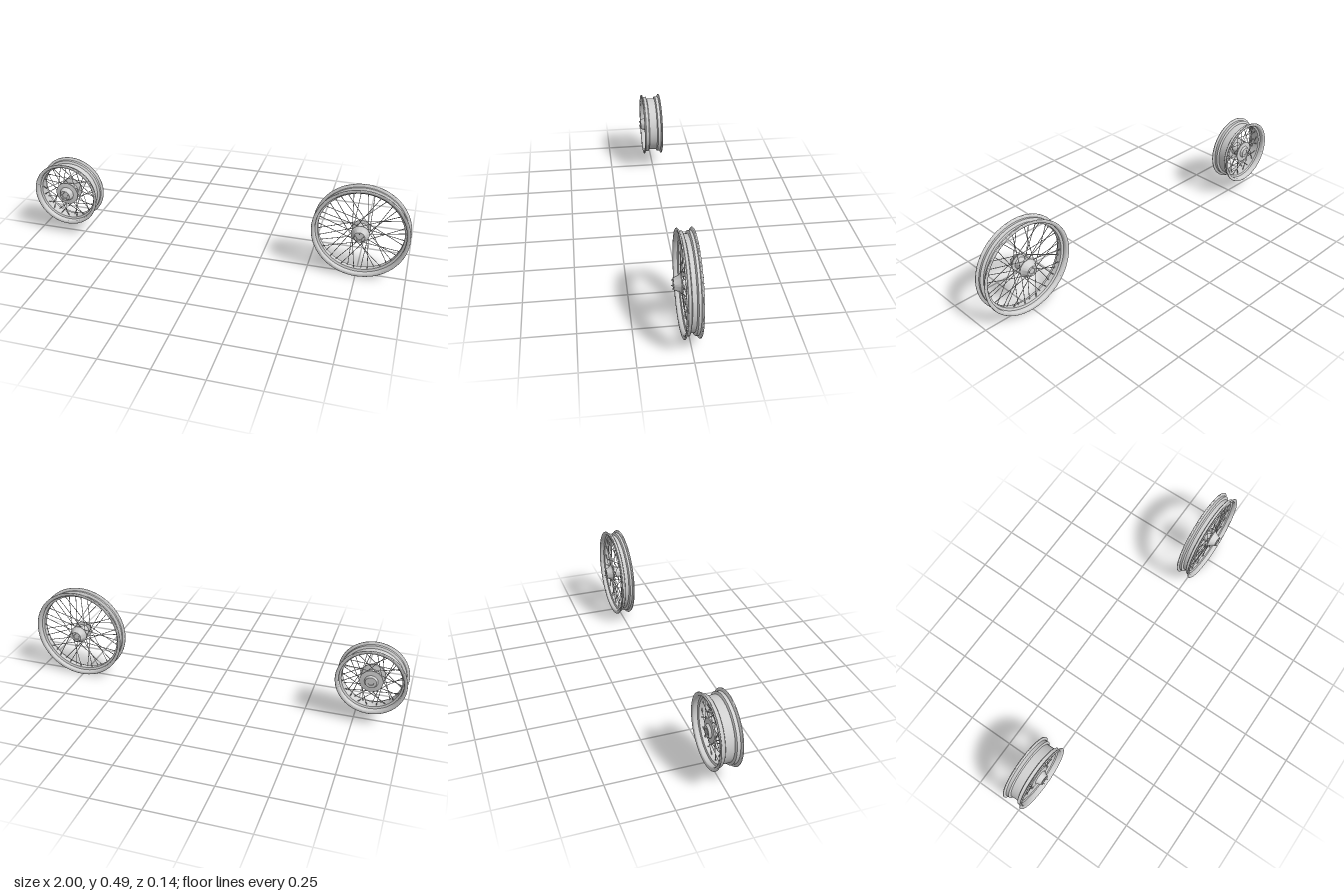
import * as THREE from 'three';
import { toCreasedNormals } from 'three/addons/utils/BufferGeometryUtils.js';

const metal = new THREE.MeshStandardMaterial({ color: 0xd2d2d2 });
metal.name = 'light grey metal';

function addMesh(parent, geometry, name) {
  const mesh = new THREE.Mesh(geometry, metal);
  mesh.name = name;
  parent.add(mesh);
  return mesh;
}

// Revolves a [radius, z] profile around the wheel axle
function revolve(profile, segments) {
  const points = profile.map(([r, z]) => new THREE.Vector2(r, z));
  const geometry = new THREE.LatheGeometry(points, segments).rotateX(Math.PI / 2);
  return toCreasedNormals(geometry, 0.75);
}

// Thin round bar between two points
function addBar(parent, a, b, radius, name, sides = 6) {
  const direction = b.clone().sub(a);
  const bar = addMesh(parent, new THREE.CylinderGeometry(radius, radius, direction.length(), sides), name);
  bar.position.copy(a).add(b).multiplyScalar(0.5);
  bar.quaternion.setFromUnitVectors(new THREE.Vector3(0, 1, 0), direction.normalize());
}

// Mirrors a half profile about z = 0
const mirrorZ = (half) => half.map(([r, z]) => [r, -z]).reverse();

// Drop-centre rim: well, bead seat, rounded lip and broad flat side face
function rimProfile({ lip, seat, well, wellHalf, width }) {
  const t = 0.004;
  const lipRadius = 0.004;
  const curl = [-60, -30, 0, 30, 60, 90, 120, 150, 180].map((degrees) => {
    const angle = THREE.MathUtils.degToRad(150 - degrees);
    return [lip - lipRadius + lipRadius * Math.sin(angle), width - lipRadius + lipRadius * Math.cos(angle)];
  }).filter(([, z]) => z < width + 1e-6).slice(2, 8);
  const half = [
    [well, wellHalf - 0.002], [seat - 0.001, wellHalf + 0.001],
    [seat + 0.001, wellHalf + 0.003], [seat, wellHalf + 0.005],
    [seat, width - 0.011], [seat + 0.003, width - 0.009],
    ...curl,
    [seat + 0.001, width - 0.001], [seat - 0.003, width - 0.003],
    [seat - t - 0.001, width - 0.006], [seat - t - 0.001, wellHalf + 0.005],
    [well - t, wellHalf + 0.001],
  ];
  return [...half, ...mirrorZ(half), half[0]];
}

const at = (radius, angle, z) =>
  new THREE.Vector3(radius * Math.cos(angle), radius * Math.sin(angle), z);

function createWheel(spec) {
  const wheel = new THREE.Group();
  wheel.name = spec.name;
  addMesh(wheel, revolve(rimProfile(spec), 72), 'rim');
  addMesh(wheel, revolve(spec.hub, 36), 'hub');

  // Crossed spokes with nipples, alternating between the two hub flanges
  const count = 40;
  for (let i = 0; i < count; i++) {
    const side = i % 2 ? 1 : -1;
    const twist = Math.floor(i / 2) % 2 ? 1 : -1;
    const angle = ((i + 0.5) / count) * Math.PI * 2;
    const outer = at(spec.well - 0.003, angle, side * spec.spokeRimZ);
    const inner = at(spec.flange, angle + twist * 1.1, side * spec.flangeZ);
    addBar(wheel, inner, outer, 0.0016, 'spoke');
    const nippleEnd = outer.clone().lerp(inner, 0.014 / outer.distanceTo(inner));
    addBar(wheel, outer, nippleEnd, 0.0024, 'spokeNipple');
  }

  // Ring of studs on each hub face
  for (const z of spec.studs) {
    for (let i = 0; i < 5; i++) {
      const angle = Math.PI / 2 + (i / 5) * Math.PI * 2;
      addBar(wheel, at(0.022, angle, z * 0.86), at(0.022, angle, z), 0.0025, 'hubStud', 8);
    }
  }
  wheel.position.set(spec.x, spec.y, -0.001);
  return wheel;
}

export function createModel() {
  const model = new THREE.Group();
  model.name = 'wheelPair';

  // Narrow large wheel with a symmetric conical hub
  const hubSide = [
    [0.028, 0.012], [0.031, 0.026], [0.046, 0.028], [0.046, 0.032],
    [0.038, 0.038], [0.027, 0.065], [0.015, 0.065], [0.014, 0.061], [0, 0.061],
  ];
  model.add(createWheel({
    name: 'largeWheel', x: 0.755, y: 0.246,
    lip: 0.2455, seat: 0.232, well: 0.219, wellHalf: 0.012, width: 0.038,
    hub: [...mirrorZ(hubSide), ...hubSide],
    flange: 0.042, flangeZ: 0.03, spokeRimZ: 0.005, studs: [0.072, -0.071],
  }));

  // Wide small wheel, its hub nose reaching past the rim at the front only
  model.add(createWheel({
    name: 'smallWheel', x: -0.823, y: 0.244,
    lip: 0.177, seat: 0.164, well: 0.153, wellHalf: 0.024, width: 0.054,
    hub: [
      [0, -0.045], [0.014, -0.045], [0.015, -0.048], [0.028, -0.048], [0.034, -0.036],
      [0.058, -0.034], [0.058, -0.028], [0.036, -0.022], [0.032, 0],
      [0.036, 0.024], [0.062, 0.029], [0.062, 0.035], [0.038, 0.038],
      [0.027, 0.064], [0.015, 0.064], [0.014, 0.06], [0, 0.06],
    ],
    flange: 0.055, flangeZ: 0.031, spokeRimZ: 0.012, studs: [0.072],
  }));
  return model;
}
